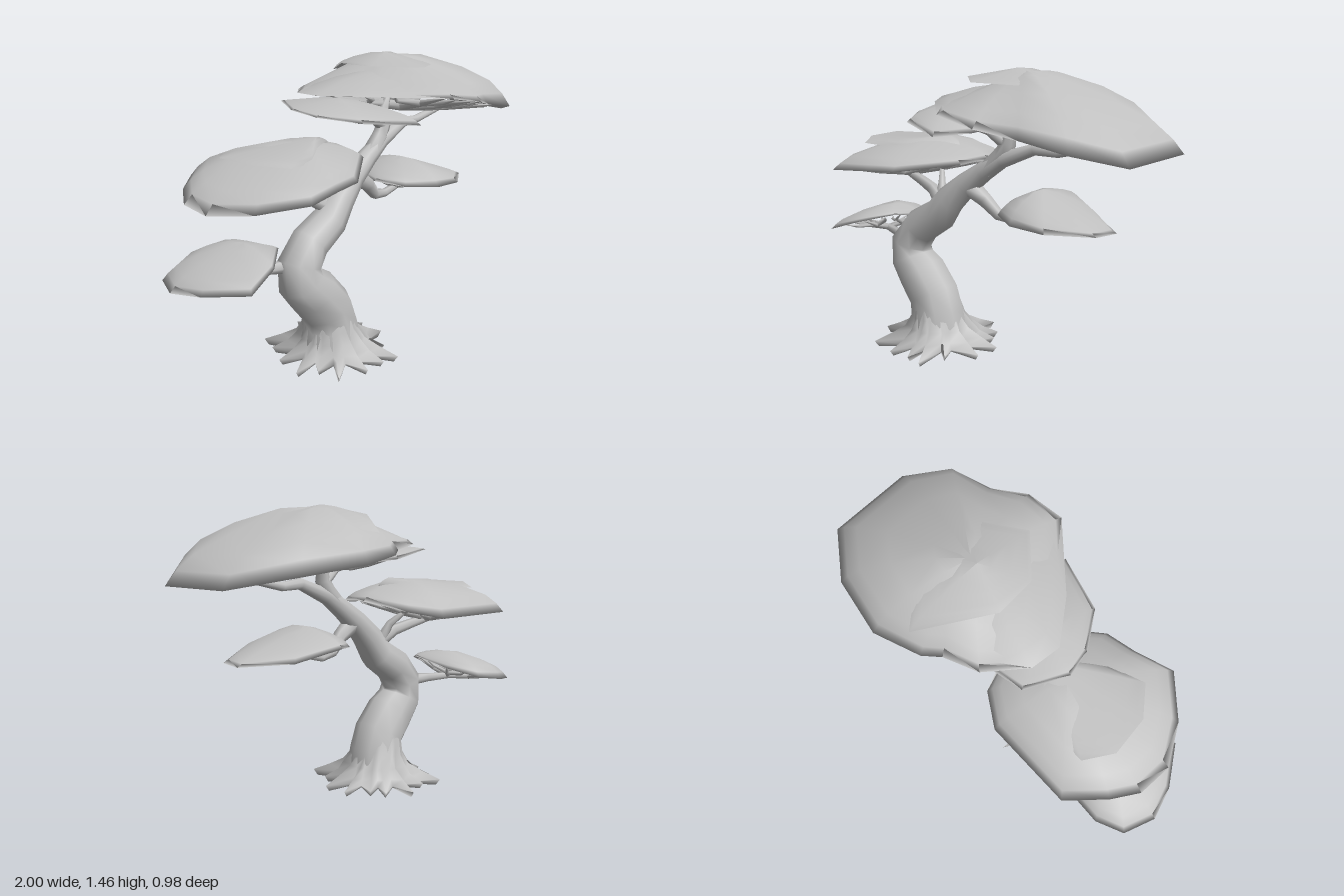
import * as THREE from 'three';

const V = (x, y, z) => new THREE.Vector3(x, y, z);
const { lerp } = THREE.MathUtils;

export function createModel() {
  const tree = new THREE.Group();
  tree.name = 'windsweptTree';
  const grey = new THREE.MeshStandardMaterial({ color: 0xc0c0c0, side: THREE.DoubleSide });
  grey.name = 'plain grey';

  // Smooth skin over closed rings of equal length
  function skin(name, rings, parent = tree) {
    const n = rings[0].length, pos = [], index = [];
    rings.forEach(ring => ring.forEach(p => pos.push(p.x, p.y, p.z)));
    for (let r = 0; r < rings.length - 1; r++) {
      for (let i = 0; i < n; i++) {
        const a = r * n + i, b = r * n + (i + 1) % n;
        index.push(a, b, a + n, b, b + n, a + n);
      }
    }
    const g = new THREE.BufferGeometry();
    g.setAttribute('position', new THREE.Float32BufferAttribute(pos, 3));
    g.setIndex(index);
    g.computeVertexNormals();
    const mesh = new THREE.Mesh(g, grey);
    mesh.name = name;
    parent.add(mesh);
  }

  // Tapered angular limb with one ring at each point [x, y, z, radius]
  function limb(name, pts, sides = 6, parent = tree) {
    const at = pts.map(p => V(p[0], p[1], p[2])), last = pts.length - 1;
    const along = at[last].clone().sub(at[0]).normalize();
    const ref = Math.abs(along.z) > 0.75 ? V(0, 1, 0) : V(0, 0, 1);
    skin(name, at.map((c, k) => {
      const t = at[Math.min(k + 1, last)].clone().sub(at[Math.max(k - 1, 0)]).normalize();
      const a = ref.clone().addScaledVector(t, -ref.dot(t)).normalize();
      const b = t.clone().cross(a);
      return Array.from({ length: sides }, (_, i) => {
        const w = i / sides * Math.PI * 2;
        return c.clone().addScaledVector(a, Math.cos(w) * pts[k][3]).addScaledVector(b, Math.sin(w) * pts[k][3]);
      });
    }), parent);
  }

  // Leaf pad from rim points [x, y, z, fullness] rising to a peak, with a hollowed underside
  const dome = [[0, 0], [0.07, 0.2], [0.18, 0.41], [0.42, 0.67], [0.75, 0.92], [1, 1]];
  const hollow = [[1, 0.62], [0.7, 0.54], [0.4, 0.37], [0.15, 0.17]];
  function pad(name, rim, peak, under = hollow) {
    skin(name, [...under, ...dome].map(([t, h]) => rim.map(([x, y, z, full = 1]) => V(
      lerp(x, peak[0], t), lerp(y, peak[1], h > t ? t + (h - t) * full : h), lerp(z, peak[2], t))).reverse()));
  }

  // Stout forked twigs fanning from a hub out to the rim of a pad
  function twigs(name, hub, rim, radius) {
    const group = new THREE.Group();
    group.name = name;
    tree.add(group);
    const toward = (p, t, lift) => [lerp(hub[0], p[0], t), lerp(hub[1], p[1], t) + lift, lerp(hub[2], p[2], t)];
    for (let i = 0; i < rim.length; i += 2) {
      const p = rim[i], fork = toward(p, 0.4, 0);
      limb('twig', [[...hub, radius], [...fork, radius * 0.75], [...toward(p, 0.85, 0.008), 0.003]], 4, group);
      [i + 1, i + rim.length - 1].forEach((j, k) => {
        const q = rim[j % rim.length].map((v, c) => lerp(v, p[c], 0.3));
        limb('sideTwig', [[...fork, radius * 0.7], [...toward(q, 0.6, 0.005), radius * 0.55],
          [...toward(q, k ? 0.75 : 0.88, 0.01), 0.003]], 4, group);
      });
    }
  }

  // Trunk with its bends, running out into the top right branch
  limb('trunk', [
    [-0.195, 0.08, 0.09, 0.15], [-0.2, 0.17, 0.09, 0.138], [-0.225, 0.26, 0.09, 0.132],
    [-0.31, 0.36, 0.09, 0.128], [-0.38, 0.43, 0.09, 0.115], [-0.39, 0.52, 0.09, 0.106],
    [-0.32, 0.61, 0.085, 0.096], [-0.19, 0.69, 0.08, 0.088], [-0.12, 0.78, 0.075, 0.076],
    [-0.02, 0.87, 0.06, 0.062], [0.09, 0.95, 0.05, 0.05], [0.2, 1.02, 0.04, 0.04],
    [0.38, 1.09, 0.02, 0.028], [0.5, 1.085, 0, 0.022], [0.7, 1.13, 0, 0.016], [0.96, 1.12, -0.02, 0.004],
  ], 9);

  // Flared root star growing out of the trunk, closed underneath
  const spokes = 32;
  const rootRows = [ // [valley radius, ridge radius, valley y, ridge y, centre x]
    [0.12, 0.12, 0.25, 0.25, -0.215], [0.138, 0.143, 0.16, 0.16, -0.2], [0.15, 0.18, 0.1, 0.11, -0.19],
    [0.165, 0.235, 0.05, 0.07, -0.19], [0.185, 0.32, 0.02, 0.03, -0.19], [0.18, 0.3, 0.01, 0, -0.19],
    [0, 0, 0.03, 0.03, -0.19],
  ];
  skin('roots', rootRows.map(([rv, rr, yv, yr, cx]) => Array.from({ length: spokes }, (_, i) => {
    const ridge = i % 2, w = -(i + 0.45 * Math.sin(i * 2.3)) / spokes * Math.PI * 2;
    const r = ridge ? rr * (rr > 0.2 ? 1 + 0.12 * Math.sin(i * 1.9) : 1) : rv;
    return V(cx + Math.cos(w) * r * 0.92, ridge ? yr : yv, 0.085 + Math.sin(w) * r * 1.02);
  })));

  // Branches
  limb('upperBranch', [[0.11, 0.96, 0.05, 0.045], [0.19, 1.04, 0.04, 0.042], [0.23, 1.1, 0.03, 0.036],
    [0.24, 1.18, 0.02, 0.026], [0.3, 1.25, 0, 0.01]]);
  limb('upperLeftBranch', [[0.22, 1.09, 0.03, 0.03], [0.12, 1.15, 0.05, 0.02], [-0.08, 1.18, 0.06, 0.012]]);
  limb('rightBranch', [[0, 0.87, 0.06, 0.05], [0.1, 0.81, 0.05, 0.036], [0.17, 0.745, 0.03, 0.028],
    [0.26, 0.73, 0.01, 0.022], [0.38, 0.755, 0, 0.016], [0.62, 0.775, 0, 0.005]]);
  limb('middleLeftBranch', [[-0.12, 0.73, 0.08, 0.05], [-0.21, 0.77, 0.06, 0.04], [-0.28, 0.81, 0.04, 0.03],
    [-0.38, 0.835, 0.02, 0.026], [-0.5, 0.86, 0, 0.02], [-0.68, 0.85, 0, 0.006]]);
  limb('middleLeftFork', [[-0.2, 0.76, 0.06, 0.03], [-0.23, 0.85, 0.02, 0.02], [-0.3, 0.93, -0.05, 0.01]]);
  limb('lowerLeftBranch', [[-0.4, 0.52, 0.08, 0.04], [-0.55, 0.52, 0.04, 0.024], [-0.68, 0.52, 0, 0.018],
    [-0.88, 0.52, -0.03, 0.005]]);

  // Top pad, with a raised lip layer
  const topRim = [[-0.22, 1.29, 0.02, -0.9], [-0.2, 1.285, -0.13, -0.6], [-0.05, 1.27, -0.3, 0.3],
    [0.12, 1.25, -0.36], [0.2, 1.23, -0.42], [0.44, 1.2, -0.49, 1.3], [0.75, 1.16, -0.42, 1.3],
    [1, 1.11, -0.24, 0.9], [1, 1.105, 0.18, 0.9], [0.83, 1.16, 0.36, 1.3], [0.6, 1.2, 0.4, 1.1],
    [0.43, 1.24, 0.49, 0.6], [0.22, 1.28, 0.49, 0.3], [-0.07, 1.29, 0.22, -0.3]];
  pad('topPad', topRim, [0.3, 1.445, 0]);
  pad('topPadLip', [[0.04, 1.41, -0.08, 0], [0.28, 1.33, -0.4], [0.5, 1.39, -0.12, 0.4], [0.5, 1.39, 0.12, 0.4],
    [0.23, 1.405, 0.29, 0], [0.05, 1.41, 0.12, 0]], [0.26, 1.455, 0], []);
  twigs('topTwigs', [0.38, 1.17, 0], topRim, 0.024);

  // Small pad tucked under the top one
  const tuckedRim = [[-0.33, 1.23, -0.02, 0.4], [-0.23, 1.24, -0.22, 0.4], [0, 1.2, -0.25], [0.14, 1.17, -0.1],
    [0.15, 1.16, 0.2], [0.1, 1.16, 0.4], [-0.18, 1.19, 0.3], [-0.3, 1.21, 0.12, 0.5]];
  pad('tuckedPad', tuckedRim, [-0.1, 1.27, 0.04]);
  twigs('tuckedTwigs', [0.02, 1.15, 0.05], tuckedRim, 0.016);

  // Middle left pad, with a raised lip layer
  const middleRim = [[-0.89, 0.86, 0.08], [-0.88, 0.87, -0.1], [-0.8, 0.9, -0.23, 1.2], [-0.65, 0.91, -0.39, 1.5],
    [-0.2, 0.91, -0.37, 1.5], [-0.05, 0.945, -0.27, 1.4], [0.03, 0.99, -0.05], [0, 0.98, 0.12], [-0.25, 0.94, 0.34],
    [-0.4, 0.93, 0.37], [-0.6, 0.92, 0.43], [-0.78, 0.88, 0.27]];
  pad('middleLeftPad', middleRim, [-0.3, 1.08, 0]);
  pad('middleLeftPadLip', [[-0.69, 1.05, -0.09, 0], [-0.6, 1.03, -0.22, 0.5], [-0.3, 1.03, -0.2], [-0.12, 1.05, 0],
    [-0.4, 1.03, 0.2], [-0.56, 1.04, 0.25, 0.5], [-0.67, 1.05, 0.11, 0]], [-0.2, 1.09, 0], []);
  twigs('middleLeftTwigs', [-0.48, 0.865, 0], middleRim, 0.02);

  // Lower left pad
  const lowerRim = [[-1, 0.5, -0.06, 0.8], [-0.94, 0.5, -0.22], [-0.8, 0.52, -0.28, 1.4], [-0.62, 0.55, -0.27, 1.4],
    [-0.54, 0.59, -0.11, 1.3], [-0.52, 0.635, 0.1], [-0.65, 0.6, 0.23, 1.2], [-0.82, 0.54, 0.29],
    [-0.95, 0.515, 0.1, 0.8]];
  pad('lowerLeftPad', lowerRim, [-0.64, 0.665, 0]);
  twigs('lowerLeftTwigs', [-0.68, 0.52, 0], lowerRim, 0.016);

  // Right pad
  const rightRim = [[0.2, 0.8, 0, 0.5], [0.25, 0.8, -0.18], [0.4, 0.82, -0.29], [0.6, 0.765, -0.2, 0.8],
    [0.8, 0.755, -0.05, 0.2], [0.78, 0.758, 0.08, 0.2], [0.6, 0.765, 0.22, 0.8], [0.42, 0.775, 0.24, 1.4],
    [0.27, 0.785, 0.15]];
  pad('rightPad', rightRim, [0.4, 0.9, -0.02]);
  twigs('rightTwigs', [0.36, 0.755, 0], rightRim, 0.016);

  return tree;
}
